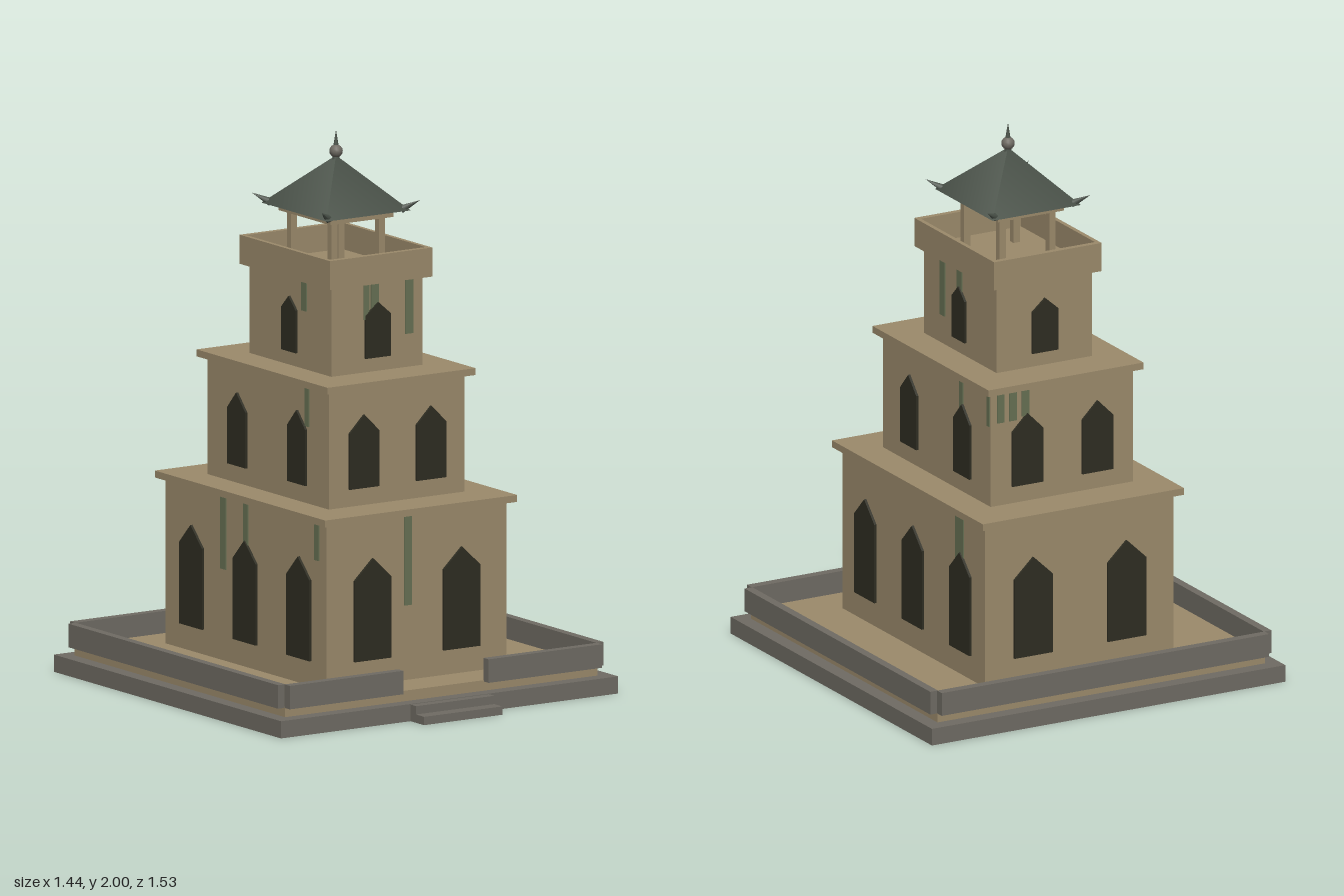
import * as THREE from 'three';

const mat = (name, color) => {
  const m = new THREE.MeshStandardMaterial({ color });
  m.name = name;
  return m;
};

export function createModel() {
  const model = new THREE.Group();
  model.name = 'pagodaTower';
  const sand = mat('sandstone', 0x9b8a6b);
  const stone = mat('greyStone', 0x6f6b63);
  const dark = mat('darkOpening', 0x2e2d22);
  const tile = mat('roofTile', 0x4b534a);
  const moss = mat('mossStain', 0x667053);

  const add = (parent, name, geo, material, x = 0, y = 0, z = 0) => {
    const m = new THREE.Mesh(geo, material);
    m.name = name;
    m.position.set(x, y, z);
    parent.add(m);
    return m;
  };
  // box given by its extents on each axis
  const box = (parent, name, material, x0, x1, y0, y1, z0, z1) =>
    add(parent, name, new THREE.BoxGeometry(x1 - x0, y1 - y0, z1 - z0), material,
      (x0 + x1) / 2, (y0 + y1) / 2, (z0 + z1) / 2);
  // box centred on the tower axis
  const slab = (parent, name, material, hx, hz, y0, y1) =>
    box(parent, name, material, -hx, hx, y0, y1, -hz, hz);

  const tower = new THREE.Group();
  tower.name = 'tower';
  tower.position.z = -0.043;
  model.add(tower);

  // base, terrace and entrance steps
  slab(tower, 'base', stone, 0.72, 0.72, 0, 0.062);
  slab(tower, 'terrace', sand, 0.667, 0.667, 0.062, 0.1);
  box(tower, 'lowerStep', stone, -0.167, 0.167, 0, 0.03, 0.72, 0.806);
  box(tower, 'upperStep', stone, -0.167, 0.167, 0, 0.06, 0.72, 0.755);

  // terrace wall with a gap at the steps
  box(tower, 'backWall', stone, -0.667, 0.667, 0.095, 0.18, -0.697, -0.664);
  for (const s of [-1, 1]) {
    const xs = [s * 0.182, s * 0.667].sort((a, b) => a - b);
    box(tower, 'frontWall', stone, xs[0], xs[1], 0.095, 0.18, 0.664, 0.697);
    const sx = [s * 0.664, s * 0.695].sort((a, b) => a - b);
    box(tower, 'sideWall', stone, sx[0], sx[1], 0.095, 0.18, -0.664, 0.664);
  }

  // pointed opening, drawn on the face plane
  const opening = (parent, u, hw, y0, shoulder, peak) => {
    const s = new THREE.Shape();
    s.moveTo(-hw, y0);
    s.lineTo(hw, y0);
    s.lineTo(hw, shoulder);
    s.lineTo(0, peak);
    s.lineTo(-hw, shoulder);
    s.closePath();
    add(parent, 'window', new THREE.ExtrudeGeometry(s, { depth: 0.009, bevelEnabled: false }), dark, u, 0, 0);
  };

  // tiers: stains are [u, width, bottom] on front, right, back and left faces
  const tiers = [
    { hx: 0.384, hz: 0.51, y0: 0.1, y1: 0.697, win: [0.19, 0.483, 0.557],
      front: { at: [-0.19, 0.19], hw: 0.078 }, side: { at: [-0.34, 0, 0.34], hw: 0.073 },
      stains: [[[-0.037, 0.032, 0.37]], [[0.33, 0.058, 0.42]], [],
        [[-0.143, 0.035, 0.43], [0, 0.03, 0.5], [0.45, 0.03, 0.56]]] },
    { hx: 0.29, hz: 0.385, y0: 0.72, y1: 1.145, win: [0.785, 0.987, 1.05],
      front: { at: [-0.143, 0.143], hw: 0.063 }, side: { at: [-0.19, 0.19], hw: 0.058 },
      stains: [[], [[0.178, 0.022, 1.0], [0.372, 0.016, 1.02]],
        [[-0.25, 0.03, 1.03], [-0.2, 0.03, 1.03], [-0.15, 0.03, 1.04]], [[0.25, 0.025, 1.0]]] },
    { hx: 0.195, hz: 0.26, y0: 1.17, y1: 1.49, win: [1.22, 1.374, 1.42],
      front: { at: [0], hw: 0.053 }, side: { at: [0], hw: 0.046 },
      stains: [[[-0.046, 0.024, 1.36], [-0.011, 0.032, 1.36], [0.136, 0.035, 1.29]],
        [[-0.123, 0.034, 1.275], [0, 0.036, 1.36]], [], [[0.09, 0.03, 1.38]]] },
  ];
  tiers.forEach((t, i) => {
    const g = new THREE.Group();
    g.name = 'tier' + (i + 1);
    tower.add(g);
    slab(g, 'tierBody', sand, t.hx, t.hz, t.y0, t.y1);
    if (i < 2) slab(g, 'cornice', sand, t.hx + 0.026, t.hz + 0.03, t.y1, t.y1 + 0.025);
    for (let k = 0; k < 4; k++) {
      const face = new THREE.Group();
      face.name = ['frontFace', 'leftFace', 'backFace', 'rightFace'][k];
      face.rotation.y = k * Math.PI / 2;
      g.add(face);
      const plane = new THREE.Group();
      plane.name = 'facade';
      plane.position.z = k % 2 ? t.hx : t.hz;
      face.add(plane);
      const w = k % 2 ? t.side : t.front;
      for (const u of w.at) opening(plane, u, w.hw, ...t.win);
      for (const [u, width, bottom] of t.stains[k])
        box(plane, 'mossStreak', moss, u - width / 2, u + width / 2, bottom, t.y1, 0, 0.004);
    }
  });

  // balcony: open parapet around the top floor
  slab(tower, 'balconyFloor', sand, 0.205, 0.27, 1.488, 1.5);
  for (const s of [-1, 1]) {
    const z = [s * 0.265, s * 0.286].sort((a, b) => a - b);
    box(tower, 'parapet', sand, -0.219, 0.219, 1.49, 1.595, z[0], z[1]);
    const x = [s * 0.203, s * 0.219].sort((a, b) => a - b);
    box(tower, 'parapet', sand, x[0], x[1], 1.49, 1.595, -0.265, 0.265);
  }

  // pavilion columns, beam and upturned roof corners
  slab(tower, 'roofBeam', sand, 0.135, 0.165, 1.695, 1.722);
  const up = new THREE.Vector3(0, 1, 0);
  for (const sx of [-1, 1]) for (const sz of [-1, 1]) {
    box(tower, 'column', sand, sx * 0.101 - 0.013, sx * 0.101 + 0.013, 1.5, 1.696,
      sz * 0.128 - 0.013, sz * 0.128 + 0.013);
    const a = new THREE.Vector3(sx * 0.155, 1.723, sz * 0.182);
    const b = new THREE.Vector3(sx * 0.21, 1.757, sz * 0.222);
    const d = b.clone().sub(a);
    const tip = add(tower, 'roofCorner', new THREE.ConeGeometry(0.015, d.length(), 6), tile);
    tip.position.copy(a).addScaledVector(d, 0.5);
    tip.quaternion.setFromUnitVectors(up, d.normalize());
  }

  // four-sided roof
  const roof = new THREE.ConeGeometry(Math.SQRT2, 0.185, 4);
  roof.rotateY(Math.PI / 4);
  roof.scale(0.18, 1, 0.206);
  add(tower, 'roof', roof, tile, 0, 1.8125, 0);

  // finial
  add(tower, 'finialNeck', new THREE.CylinderGeometry(0.01, 0.016, 0.03, 8), tile, 0, 1.895, 0);
  add(tower, 'finialBall', new THREE.SphereGeometry(0.024, 12, 8), stone, 0, 1.921, 0);
  add(tower, 'finialSpike', new THREE.ConeGeometry(0.01, 0.06, 8), tile, 0, 1.968, 0);

  return model;
}
